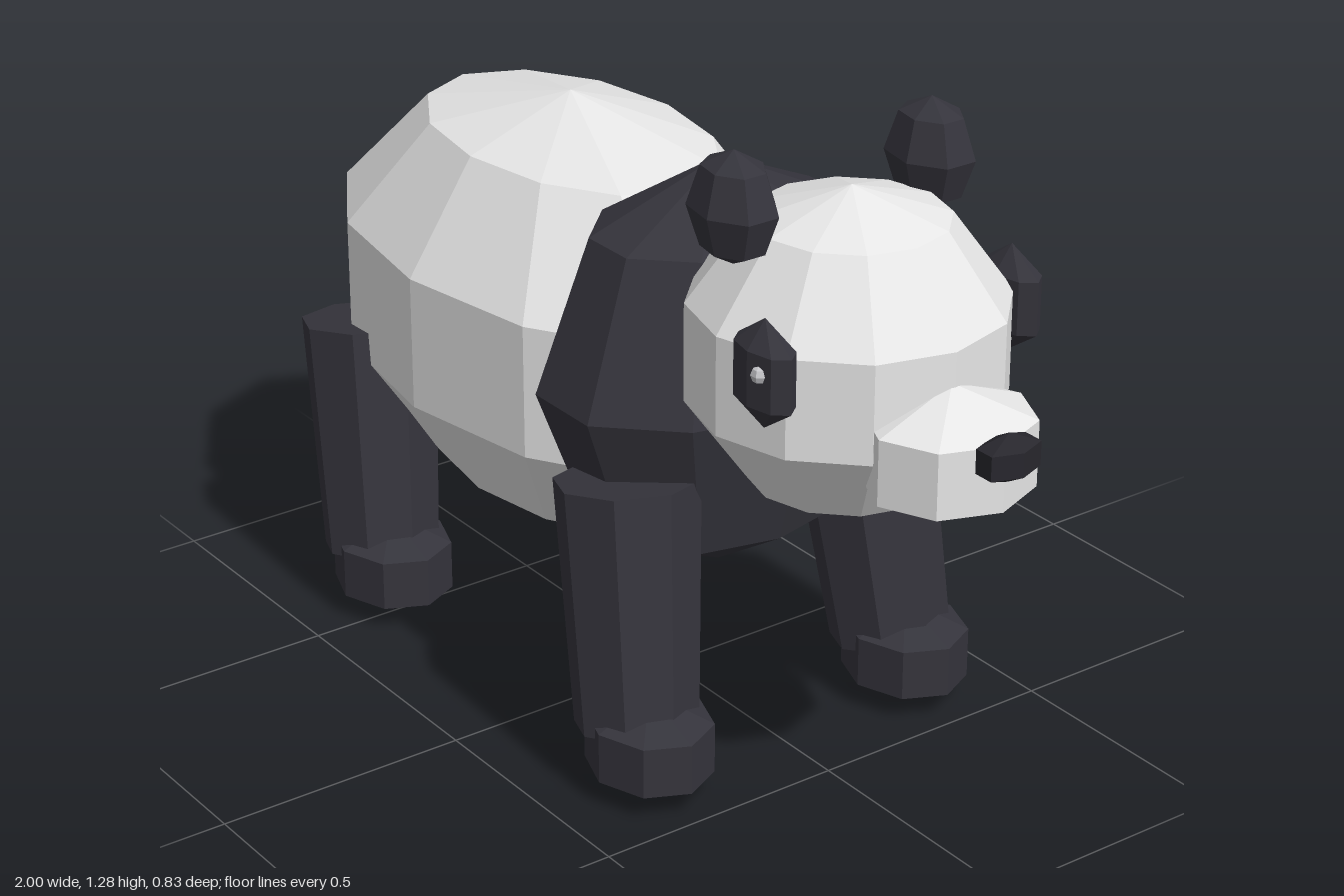
import * as THREE from 'three';

const flat = (name, color) => {
  const m = new THREE.MeshStandardMaterial({ color, flatShading: true });
  m.name = name;
  return m;
};

export function createModel() {
  const bear = new THREE.Group();
  bear.name = 'bear';
  const white = flat('white fur', 0xececec);
  const black = flat('black fur', 0x35343c);
  const noseBlack = flat('nose black', 0x28272d);
  const glint = flat('eye glint', 0xc4c4c8);

  // Faceted ellipsoid: centre, radii, segments around and from pole to pole
  const blob = (name, mat, c, r, around, rings) => {
    const g = new THREE.SphereGeometry(1, around, rings);
    g.scale(...r);
    const mesh = new THREE.Mesh(g, mat);
    mesh.name = name;
    mesh.position.set(...c);
    bear.add(mesh);
    return mesh;
  };

  // Trunk, shoulder band, head and tail
  blob('body', white, [-0.32, 0.67, 0], [0.64, 0.43, 0.39], 12, 5);
  blob('shoulders', black, [0.155, 0.71, 0], [0.265, 0.41, 0.373], 10, 4);
  blob('head', white, [0.53, 0.882, 0], [0.305, 0.304, 0.305], 12, 5);
  blob('muzzle', white, [0.81, 0.79, 0], [0.165, 0.125, 0.182], 8, 3);
  blob('nose', noseBlack, [0.96, 0.835, 0], [0.046, 0.046, 0.073], 6, 3);
  blob('tail', white, [-0.93, 0.673, 0], [0.081, 0.086, 0.068], 6, 3);

  // Leg tapering from hip to ankle
  const leg = (name, top, bottom) => {
    const a = new THREE.Vector3(...top), b = new THREE.Vector3(...bottom);
    const axis = a.clone().sub(b);
    const mesh = new THREE.Mesh(new THREE.CylinderGeometry(0.137, 0.117, axis.length(), 8), black);
    mesh.name = name;
    mesh.position.copy(a).add(b).multiplyScalar(0.5);
    mesh.quaternion.setFromUnitVectors(new THREE.Vector3(0, 1, 0), axis.normalize());
    bear.add(mesh);
  };

  for (const s of [-1, 1]) {
    const side = s > 0 ? 'Right' : 'Left';
    blob('ear' + side, black, [0.48, 1.18, s * 0.217], [0.095, 0.105, 0.074], 7, 4);
    blob('eyePatch' + side, black, [0.643, 0.945, s * 0.272], [0.085, 0.102, 0.044], 8, 3);
    blob('eyeGlint' + side, glint, [0.668, 0.96, s * 0.304], [0.016, 0.016, 0.014], 6, 4);

    // Front and hind legs with feet
    for (const [part, x] of [['front', 0.35], ['hind', -0.53]]) {
      leg(part + 'Leg' + side, [x - 0.115, 0.58, s * 0.268], [x - 0.043, 0.118, s * 0.3]);
      blob(part + 'Foot' + side, black, [x, 0.1, s * 0.302], [0.152, 0.1, 0.131], 8, 3);
    }
  }
  return bear;
}
